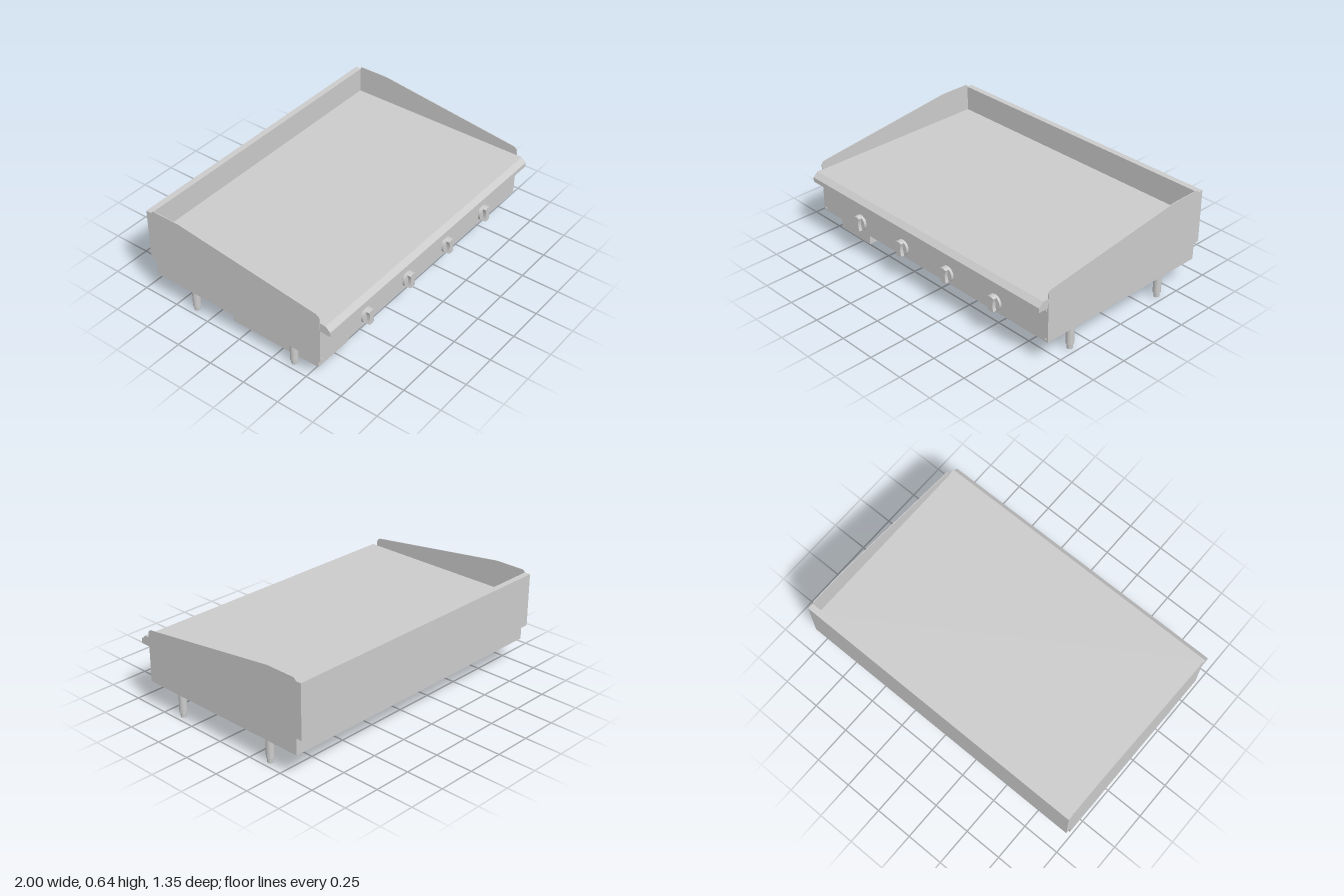
import * as THREE from 'three';

const steel = new THREE.MeshStandardMaterial({ color: 0xcccccc });

function add(parent, name, geometry, x = 0, y = 0, z = 0) {
  const mesh = new THREE.Mesh(geometry, steel);
  mesh.name = name;
  mesh.position.set(x, y, z);
  parent.add(mesh);
  return mesh;
}

// Box given by its lower and upper limits on each axis
function addBox(parent, name, [x0, x1], [y0, y1], [z0, z1]) {
  return add(parent, name, new THREE.BoxGeometry(x1 - x0, y1 - y0, z1 - z0),
    (x0 + x1) / 2, (y0 + y1) / 2, (z0 + z1) / 2);
}

// Extrude a side profile drawn in (z, y) along x, centred on x = 0
function sideExtrude(shape, width) {
  const geometry = new THREE.ExtrudeGeometry(shape, { depth: width, bevelEnabled: false, curveSegments: 8 });
  geometry.translate(0, 0, -width / 2);
  geometry.rotateY(-Math.PI / 2);
  return geometry;
}

function createKnob() {
  const knob = new THREE.Group();
  knob.name = 'knob';
  const disc = (name, radius, z0, z1) => {
    const geometry = new THREE.CylinderGeometry(radius, radius, z1 - z0, 32);
    geometry.rotateX(Math.PI / 2);
    add(knob, name, geometry, 0, 0, (z0 + z1) / 2);
  };
  disc('knobStem', 0.026, 0, 0.018);
  disc('knobDisc', 0.05, 0.016, 0.032);

  // Upright grip with a pinched waist and rounded ends
  const grip = new THREE.Shape();
  grip.moveTo(0.025, -0.043);
  grip.quadraticCurveTo(0.008, 0, 0.025, 0.043);
  grip.quadraticCurveTo(0, 0.057, -0.025, 0.043);
  grip.quadraticCurveTo(-0.008, 0, -0.025, -0.043);
  grip.quadraticCurveTo(0, -0.057, 0.025, -0.043);
  add(knob, 'knobGrip', new THREE.ExtrudeGeometry(grip, { depth: 0.025, bevelEnabled: false, curveSegments: 8 }), 0, 0, 0.03);
  return knob;
}

export function createModel() {
  const model = new THREE.Group();
  model.name = 'griddle';

  // Cabinet, grease drawer and rear panel
  addBox(model, 'cabinet', [-1, 1], [0.17, 0.4], [-0.635, 0.605]);
  addBox(model, 'greaseDrawer', [-0.925, -0.645], [0.033, 0.17], [-0.11, 0.53]);
  addBox(model, 'backPanel', [-1, 1], [0.277, 0.628], [-0.675, -0.635]);

  // Cooking plate with a chamfered front nose
  const plate = new THREE.Shape();
  plate.moveTo(-0.635, 0.4);
  plate.lineTo(0.675, 0.4);
  plate.lineTo(0.675, 0.43);
  plate.lineTo(0.643, 0.46);
  plate.lineTo(-0.635, 0.46);
  add(model, 'cookingPlate', sideExtrude(plate, 1.994));

  // Thin sloping splash guards
  const guard = new THREE.Shape();
  guard.moveTo(-0.635, 0.4);
  guard.lineTo(0.605, 0.4);
  guard.lineTo(0.605, 0.485);
  guard.quadraticCurveTo(0.605, 0.512, 0.575, 0.517);
  guard.lineTo(-0.41, 0.644);
  guard.quadraticCurveTo(-0.42, 0.645, -0.43, 0.645);
  guard.lineTo(-0.615, 0.645);
  guard.quadraticCurveTo(-0.635, 0.645, -0.635, 0.625);
  const guardGeometry = sideExtrude(guard, 0.005);

  for (const side of [-1, 1]) {
    add(model, 'splashGuard', guardGeometry, side * 0.9975);

    // Stepped legs
    for (const z of [-0.373, 0.377]) {
      const leg = new THREE.Group();
      leg.name = 'leg';
      leg.position.set(side * 0.953, 0, z);
      add(leg, 'legTube', new THREE.CylinderGeometry(0.025, 0.025, 0.14, 24), 0, 0.103, 0);
      add(leg, 'legFoot', new THREE.CylinderGeometry(0.02, 0.018, 0.035, 24), 0, 0.0175, 0);
      model.add(leg);
    }

    // Front panel screws
    for (const y of [0.375, 0.185]) {
      const screw = new THREE.CylinderGeometry(0.008, 0.008, 0.006, 12);
      screw.rotateX(Math.PI / 2);
      add(model, 'screw', screw, side * 0.982, y, 0.607);
    }
  }

  // Control knobs
  for (const x of [-0.6, -0.2, 0.2, 0.6]) {
    const knob = createKnob();
    knob.position.set(x, 0.255, 0.605);
    model.add(knob);
  }
  return model;
}
